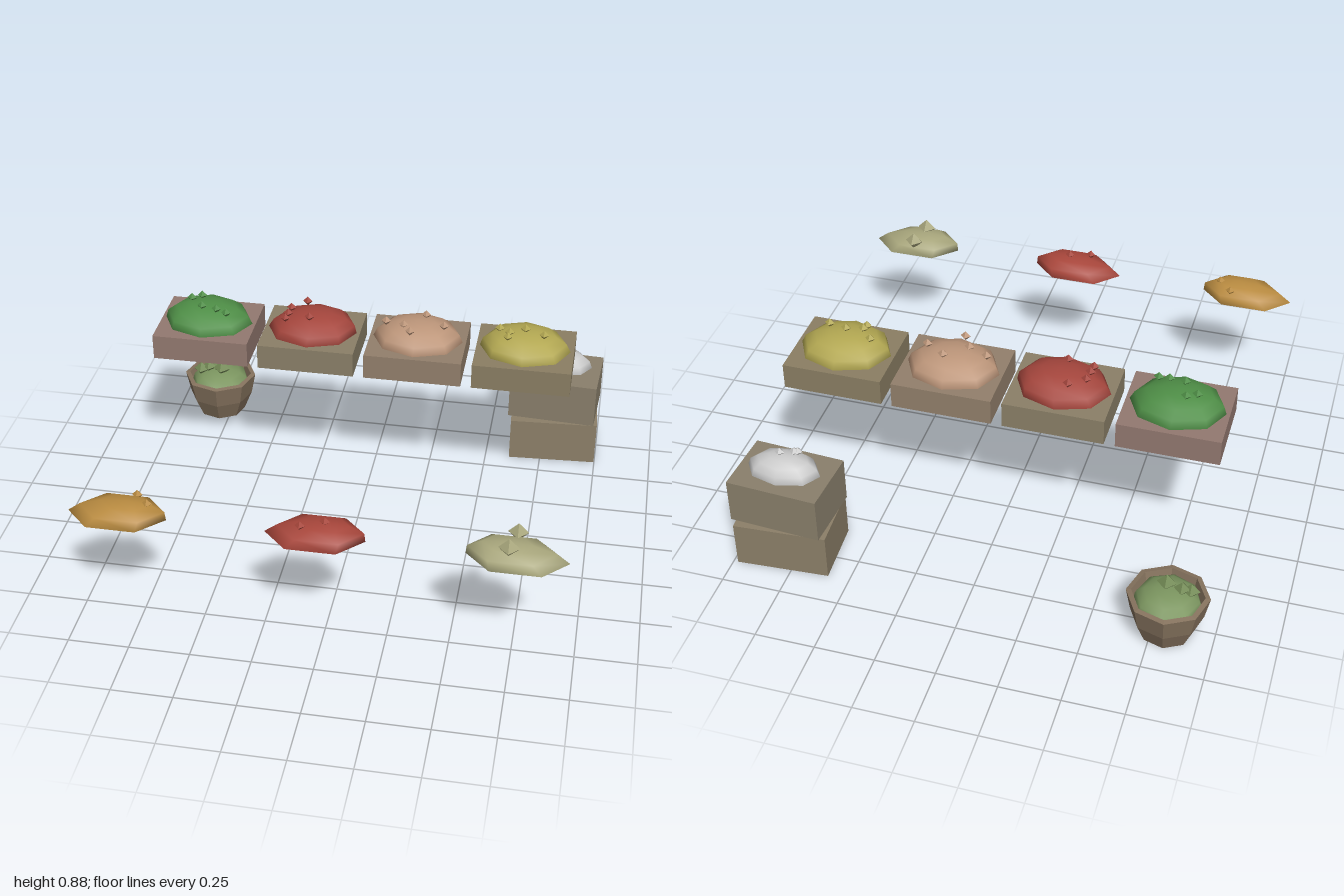
import * as THREE from 'three';

const paint = (color, flatShading = false) =>
  new THREE.MeshStandardMaterial({ color, flatShading, side: THREE.DoubleSide });

function add(parent, name, geometry, material, x, y, z) {
  const mesh = new THREE.Mesh(geometry, material);
  mesh.name = name;
  mesh.position.set(x, y, z);
  parent.add(mesh);
  return mesh;
}

// Box with a lid and four sides but no floor
function openCrate(w, h, d) {
  const geo = new THREE.BoxGeometry(w, h, d);
  const index = Array.from(geo.index.array);
  index.splice(18, 6);
  geo.setIndex(index);
  return geo;
}

// Half dome leaning sideways, open underneath
function dome(rx, ry, rz, sides, rings, lean) {
  const geo = new THREE.SphereGeometry(1, sides, rings, 0, Math.PI * 2, 0, Math.PI / 2);
  geo.scale(rx, ry, rz);
  return geo.applyMatrix4(new THREE.Matrix4().set(1, lean, 0, 0, 0, 1, 0, 0, 0, 0, 1, 0, 0, 0, 0, 1));
}

// Small octahedral lumps: [x, y, z, radius]
function lumps(parent, color, list) {
  const mat = paint(color, true);
  for (const [x, y, z, r = 0.021] of list) {
    add(parent, 'lump', new THREE.OctahedronGeometry(r), mat, x, y, z);
  }
}

export function createModel() {
  const model = new THREE.Group();
  model.name = 'marketGoods';

  // Row of shallow crates with heaped goods
  const row = [
    { crate: 0x937970, heap: 0x4f8f47, lean: -0.1, bits: [[-0.79, 0.848, -0.335], [-0.75, 0.85, -0.36], [-0.73, 0.85, -0.27], [-0.665, 0.845, -0.26], [-0.62, 0.835, -0.25]] },
    { crate: 0x8b8068, heap: 0xa5463d, lean: 0.2, bits: [[-0.29, 0.843, -0.4], [-0.35, 0.837, -0.345], [-0.355, 0.837, -0.295], [-0.36, 0.835, -0.255], [-0.255, 0.85, -0.255]] },
    { crate: 0x93806c, heap: 0xbd967a, lean: 0, bits: [[0.235, 0.85, -0.36], [0.07, 0.835, -0.305], [0.15, 0.842, -0.275], [0.32, 0.84, -0.295], [0.185, 0.847, -0.215]] },
    { crate: 0x8b7f64, heap: 0xb3a852, lean: -0.1, bits: [[0.555, 0.837, -0.325], [0.665, 0.855, -0.305], [0.6, 0.848, -0.28], [0.595, 0.842, -0.25], [0.745, 0.847, -0.28]] },
  ];
  row.forEach(({ crate, heap, lean, bits }, i) => {
    const stall = new THREE.Group();
    stall.name = 'filledCrate';
    const x = -0.713 + i * 0.46;
    add(stall, 'crate', openCrate(0.415, 0.11, 0.354), paint(crate), x, 0.7, -0.313);
    add(stall, 'heap', dome(0.193, 0.092, 0.155, 8, 4, lean), paint(heap), x, 0.755, -0.313);
    lumps(stall, heap, bits);
    model.add(stall);
  });

  // Three loose heaps at the front
  const loose = [
    { x: -0.803, color: 0xb98b40, lean: 0.6, bits: [[-0.735, 0.59, 0.77], [-0.68, 0.596, 0.83]] },
    { x: -0.02, color: 0xa8463b, lean: 0.6, bits: [[-0.07, 0.6, 0.87], [0.02, 0.605, 0.835]] },
    { x: 0.757, color: 0xa8a67c, lean: -0.6, bits: [[0.75, 0.597, 0.76, 0.04], [0.725, 0.605, 0.875, 0.042]] },
  ];
  for (const { x, color, lean, bits } of loose) {
    const pile = new THREE.Group();
    pile.name = 'frontHeap';
    add(pile, 'heap', dome(0.197, 0.075, 0.112, 6, 3, lean), paint(color), x, 0.53, 0.836);
    lumps(pile, color, bits);
    model.add(pile);
  }

  // Two stacked boxes, turned opposite ways, with a pale heap on top
  const stack = new THREE.Group();
  stack.name = 'boxStack';
  add(stack, 'lowerBox', openCrate(0.39, 0.2, 0.28), paint(0x8d8069), 0.795, 0.1, -0.735).rotation.y = 0.06;
  add(stack, 'upperBox', openCrate(0.39, 0.197, 0.28), paint(0x8a806c), 0.795, 0.313, -0.735).rotation.y = -0.06;
  add(stack, 'heap', dome(0.155, 0.082, 0.098, 8, 4, 0), paint(0xbcbcbc), 0.795, 0.425, -0.742);
  lumps(stack, 0xc4c4c4, [[0.745, 0.505, -0.705], [0.757, 0.508, -0.712], [0.81, 0.512, -0.735]]);
  model.add(stack);

  // Eight-sided basket with a thick rim and a green heap
  const basket = new THREE.Group();
  basket.name = 'filledBasket';
  const profile = [[0.11, 0], [0.147, 0.09], [0.167, 0.188], [0.146, 0.192], [0.133, 0.14]]
    .map(([r, y]) => new THREE.Vector2(r, y));
  add(basket, 'basket', new THREE.LatheGeometry(profile, 8), paint(0x86735e, true), -0.803, 0, -0.772).rotation.y = 0.1;
  add(basket, 'heap', dome(0.137, 0.07, 0.137, 8, 4, 0), paint(0x7c9660), -0.803, 0.15, -0.772);
  lumps(basket, 0x738a55, [[-0.89, 0.215, -0.755, 0.036], [-0.855, 0.226, -0.765, 0.034], [-0.79, 0.23, -0.75, 0.04]]);
  model.add(basket);

  return model;
}
